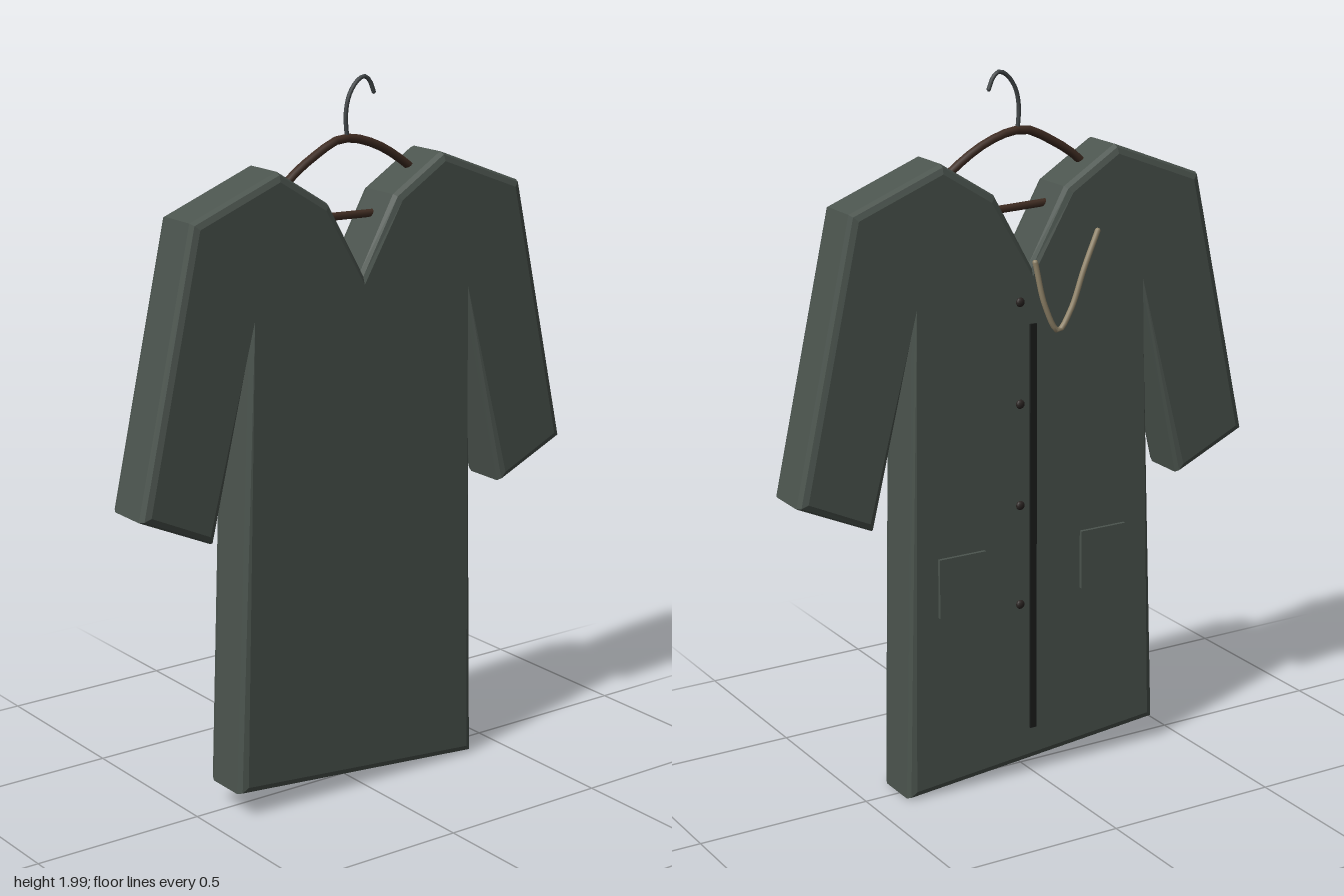
import * as THREE from 'three';

const paint = (name, color) => {
  const m = new THREE.MeshStandardMaterial({ color });
  m.name = name;
  return m;
};

export function createModel() {
  const cloth = paint('grey green cloth', 0x4b544e);
  const wood = paint('dark brown wood', 0x3f2c22);
  const metal = paint('dark metal', 0x414648);
  const black = paint('black trim', 0x1b1d1c);
  const buttonMat = paint('button', 0x2a2422);
  const tan = paint('tan cord', 0x93866b);

  const group = new THREE.Group();
  const add = (name, geometry, material, x = 0, y = 0, z = 0) => {
    const mesh = new THREE.Mesh(geometry, material);
    mesh.name = name;
    mesh.position.set(x, y, z);
    group.add(mesh);
    return mesh;
  };
  const vec = (p) => new THREE.Vector3(...p);

  // Rod through points, with small spheres closing its ends
  const rod = (name, points, radius, material, segments = 24, sides = 8) => {
    const pts = points.map(vec);
    add(name, new THREE.TubeGeometry(new THREE.CatmullRomCurve3(pts), segments, radius, sides), material);
    for (const p of [pts[0], pts[pts.length - 1]]) {
      add(name + 'End', new THREE.SphereGeometry(radius, sides, 6), material, p.x, p.y, p.z);
    }
  };

  // Coat: one bevelled slab with sleeves, V neck and slanted hem
  const outline = [
    [0, 1.48], [-0.11, 1.68], [-0.27, 1.78], [-0.54, 1.675], [-0.71, 0.91],
    [-0.49, 0.81], [-0.36, 1.37], [-0.415, 0.075], [0.395, 0.005], [0.36, 1.37],
    [0.49, 0.81], [0.71, 0.91], [0.54, 1.675], [0.27, 1.78], [0.11, 1.68],
  ];
  const bevel = 0.022;
  const coat = new THREE.ExtrudeGeometry(
    new THREE.Shape(outline.map(([x, y]) => new THREE.Vector2(x, y))),
    {
      depth: 0.16 - 2 * bevel, bevelEnabled: true, bevelSize: bevel,
      bevelThickness: bevel, bevelOffset: -bevel, bevelSegments: 2,
    },
  );
  add('coatBody', coat, cloth, 0, 0, -0.065 + bevel);

  // Placket strip, buttons and patch pockets
  add('placket', new THREE.BoxGeometry(0.02, 1.18, 0.01), black, 0, 0.73, -0.066);
  for (const y of [0.52, 0.81, 1.1, 1.385]) {
    const button = add('button', new THREE.SphereGeometry(0.013, 12, 8), buttonMat, 0.042, y, -0.069);
    button.scale.z = 0.6;
  }
  for (const side of [-1, 1]) {
    add('pocket', new THREE.BoxGeometry(0.145, 0.17, 0.016), cloth, side * 0.2275, 0.615, -0.067);
  }

  // Cord hanging in a loop on the chest
  rod('cord', [
    [0, 1.49, -0.077], [-0.025, 1.37, -0.087], [-0.065, 1.297, -0.09],
    [-0.105, 1.35, -0.09], [-0.15, 1.46, -0.086], [-0.197, 1.555, -0.078],
  ], 0.008, tan, 32);

  // Hanger: arched shoulder rod, cross bar and hook
  const z = 0.015;
  rod('hangerArch', [
    [-0.23, 1.705, z], [-0.17, 1.757, z], [-0.1, 1.8, z], [-0.03, 1.832, z],
    [0.03, 1.83, z], [0.11, 1.802, z], [0.18, 1.76, z], [0.24, 1.715, z],
  ], 0.012, wood, 14);
  rod('hangerBar', [[-0.19, 1.632, z], [0, 1.626, z], [0.19, 1.62, z]], 0.011, wood, 4);
  rod('hangerHook', [
    [0, 1.83, z], [-0.004, 1.9, z], [0.008, 1.95, z], [0.035, 1.985, z],
    [0.058, 1.994, z], [0.075, 1.98, z], [0.088, 1.95, z],
  ], 0.006, metal, 18);

  return group;
}
